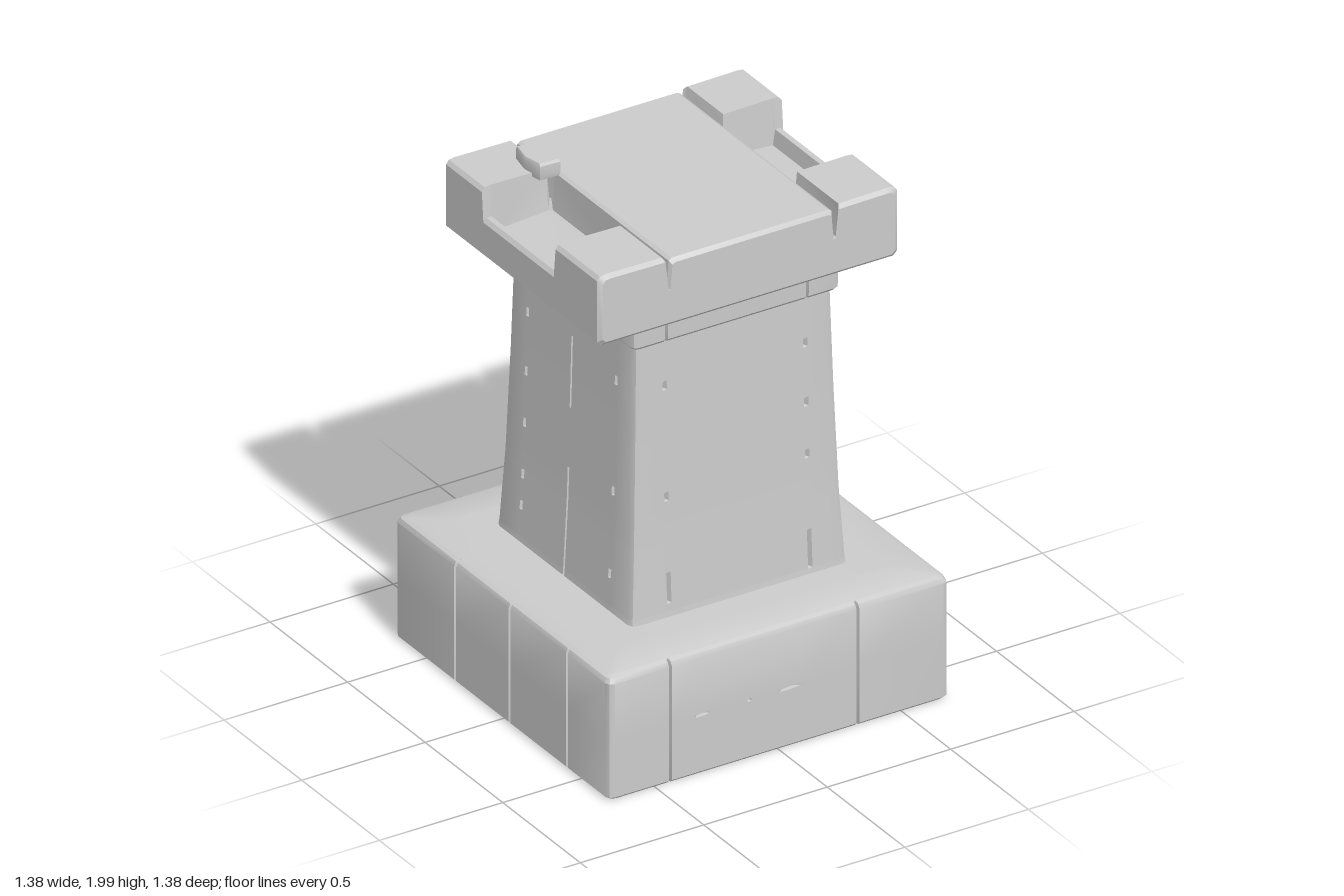
import * as THREE from 'three';
import { toCreasedNormals } from 'three/addons/utils/BufferGeometryUtils.js';

const stone = new THREE.MeshStandardMaterial({ color: 0xcccccc });

// Closed solid through equal-length rings of [x, y, z]; `flat` picks the two axes used to fill the ends.
function loft(name, rings, flat) {
  const n = rings[0].length, index = [];
  for (let r = 0; r < rings.length - 1; r++) {
    for (let i = 0; i < n; i++) {
      const a = r * n + i, b = r * n + (i + 1) % n;
      index.push(a, b, b + n, a, b + n, a + n);
    }
  }
  for (const r of [0, rings.length - 1]) {
    const pts = rings[r].map(p => new THREE.Vector2(p[flat[0]], p[flat[1]]));
    const turn = Math.sign(THREE.ShapeUtils.area(pts));
    for (const [a, b, c] of THREE.ShapeUtils.triangulateShape(pts, [])) {
      const same = Math.sign(THREE.ShapeUtils.area([pts[a], pts[b], pts[c]])) === turn;
      const o = r * n;
      if (same === (r > 0)) index.push(o + a, o + b, o + c);
      else index.push(o + a, o + c, o + b);
    }
  }
  // Turn the faces outward if the enclosed volume is negative.
  const pos = rings.flat().map(p => new THREE.Vector3(...p));
  let volume = 0;
  for (let i = 0; i < index.length; i += 3) {
    volume += pos[index[i]].dot(pos[index[i + 1]].clone().cross(pos[index[i + 2]]));
  }
  if (volume < 0) index.reverse();
  const geo = new THREE.BufferGeometry().setFromPoints(pos);
  geo.setIndex(index);
  const mesh = new THREE.Mesh(toCreasedNormals(geo, 0.5), stone);
  mesh.name = name;
  return mesh;
}

// Square block following a [y, halfWidth] profile. Each side (front, right, back, left) lists
// its cracks as [position, halfWidth, [bottom, top], ...].
function crackedBlock(name, profile, corner, depth, sides) {
  const levels = new Set(profile.map(p => p[0]));
  const low = profile[0][0], high = profile.at(-1)[0];
  for (const [, , ...spans] of sides.flat()) {
    for (const [y0, y1] of spans) {
      for (const y of [y0, y0 + 0.003, y1 - 0.003, y1]) if (y > low && y < high) levels.add(y);
    }
  }
  const halfAt = y => {
    const i = Math.max(1, profile.findIndex(p => p[0] >= y));
    const [[y0, h0], [y1, h1]] = [profile[i - 1], profile[i]];
    return h0 + (h1 - h0) * (y - y0) / (y1 - y0);
  };
  const rings = [...levels].sort((a, b) => a - b).map(y => {
    const h = halfAt(y), ring = [];
    sides.forEach((cracks, s) => {
      const dir = s === 0 || s === 3 ? 1 : -1;
      const put = (t, d) => ring.push([[t, y, h - d], [h - d, y, -t], [-t, y, d - h], [d - h, y, t]][s]);
      put(-h + corner * 0.3, corner * 0.3);
      put(-h + corner, 0);
      for (const [at, w, ...spans] of [...cracks].sort((a, b) => dir * (a[0] - b[0]))) {
        const open = spans.some(([y0, y1]) => y > y0 && y < y1);
        put(at * dir - w, 0);
        put(at * dir, open ? depth : 0);
        put(at * dir + w, 0);
      }
      put(h - corner, 0);
    });
    return ring;
  });
  return loft(name, rings, [0, 2]);
}

// Cross-section of the cap, left to right: outer wall, corner block or trough, slot and middle slab.
function capSection(z, trough, inset) {
  const [rim, rimTop, sill, floor, inner, slot] = trough
    ? [1.82, 1.835, 1.835, 1.775, 1.79, 1.785]
    : [1.935, 1.95, 1.953, 1.953, 1.95, 1.825];
  const half = (outer, gap) => [
    [outer - 0.015, 1.68], [outer, 1.695], [outer, rim], [outer - 0.012, rimTop],
    [outer - 0.033, sill], [outer - 0.042, floor], [gap + 0.016, inner],
    [gap + 0.004, slot], [gap - 0.004, slot], [gap - 0.012, 1.93], [gap - 0.025, 1.938],
  ];
  const right = half(0.605, 0.352);
  const left = half(0.61, 0.332).map(([x, y]) => [-x, y]).reverse();
  return [...right, ...left].map(([x, y]) =>
    [x * (1 - inset / 0.6), 1.815 + (y - 1.815) * (1 - inset / 0.135), z]);
}

export function createModel() {
  const group = new THREE.Group();
  const full = [-1, 9], hair = [0.235, 0.247];

  // Wide plinth with stone joints
  const joints = list => list.map(at => [at, 0.006, [-1, 0.489]]);
  const sideJoints = joints([0.42, 0.05, -0.3]);
  group.add(crackedBlock('plinth',
    [[0.01, 0.68], [0.02, 0.69], [0.465, 0.69], [0.482, 0.682], [0.49, 0.665], [0.5, 0.54]], 0.025, 0.03, [
      [...joints([-0.44, 0.32]), [-0.31, 0.03, hair], [-0.12, 0.008, hair], [0.045, 0.045, hair]],
      sideJoints,
      [...joints([-0.43, 0.32, 0.43]), [-0.2, 0.03, hair], [0.03, 0.02, hair]],
      sideJoints,
    ]));

  // Tapering shaft with short chips and a long central crack on its flanks
  const chips = (at, ...ys) => [at, 0.009, ...ys.map(y => [y - 0.018, y + 0.018])];
  const long = [0, 0.005, [0.4, 0.92], [1.15, 1.43]];
  const face = [[...chips(-0.285, 1.39, 0.96), [0.55, 0.67]], [...chips(0.285, 1.39, 1.16, 0.96), [0.52, 0.67]]];
  const flank = [chips(0.285, 1.39, 0.96, 0.64), long, chips(-0.285, 1.39, 1.16, 0.96, 0.76, 0.64)];
  group.add(crackedBlock('shaft',
    [[0.48, 0.443], [0.52, 0.438], [0.8, 0.423], [1.2, 0.41], [1.6, 0.4]], 0.03, 0.02,
    [face, flank, face, flank]));

  // Collar under the cap
  const pair = [-0.285, 0.285].map(at => [at, 0.006, full]);
  const triple = [...pair, [0, 0.006, full]];
  group.add(crackedBlock('collar',
    [[1.567, 0.41], [1.577, 0.418], [1.66, 0.42], [1.69, 0.42]], 0.02, 0.02,
    [pair, triple, pair, triple]));

  // Cap: four raised corners, a middle slab and a trough on each side
  const stations = [
    [-0.5, false, 0.014], [-0.486, false, 0], [-0.255, false, 0], [-0.245, true, 0],
    [0.208, true, 0], [0.22, false, 0], [0.486, false, 0], [0.5, false, 0.014],
  ];
  group.add(loft('cap', stations.map(s => capSection(...s)), [0, 1]));

  // Loose stone lying on one corner
  const outline = [[-0.415, -0.29], [-0.4, -0.37], [-0.32, -0.36], [-0.32, -0.21], [-0.4, -0.215]];
  const slice = (y, k) => outline.map(([x, z]) => [-0.37 + (x + 0.37) * k, y, -0.29 + (z + 0.29) * k]);
  group.add(loft('looseStone', [slice(1.935, 0.95), slice(1.95, 1), slice(1.99, 1), slice(2, 0.92)], [0, 2]));

  return group;
}
